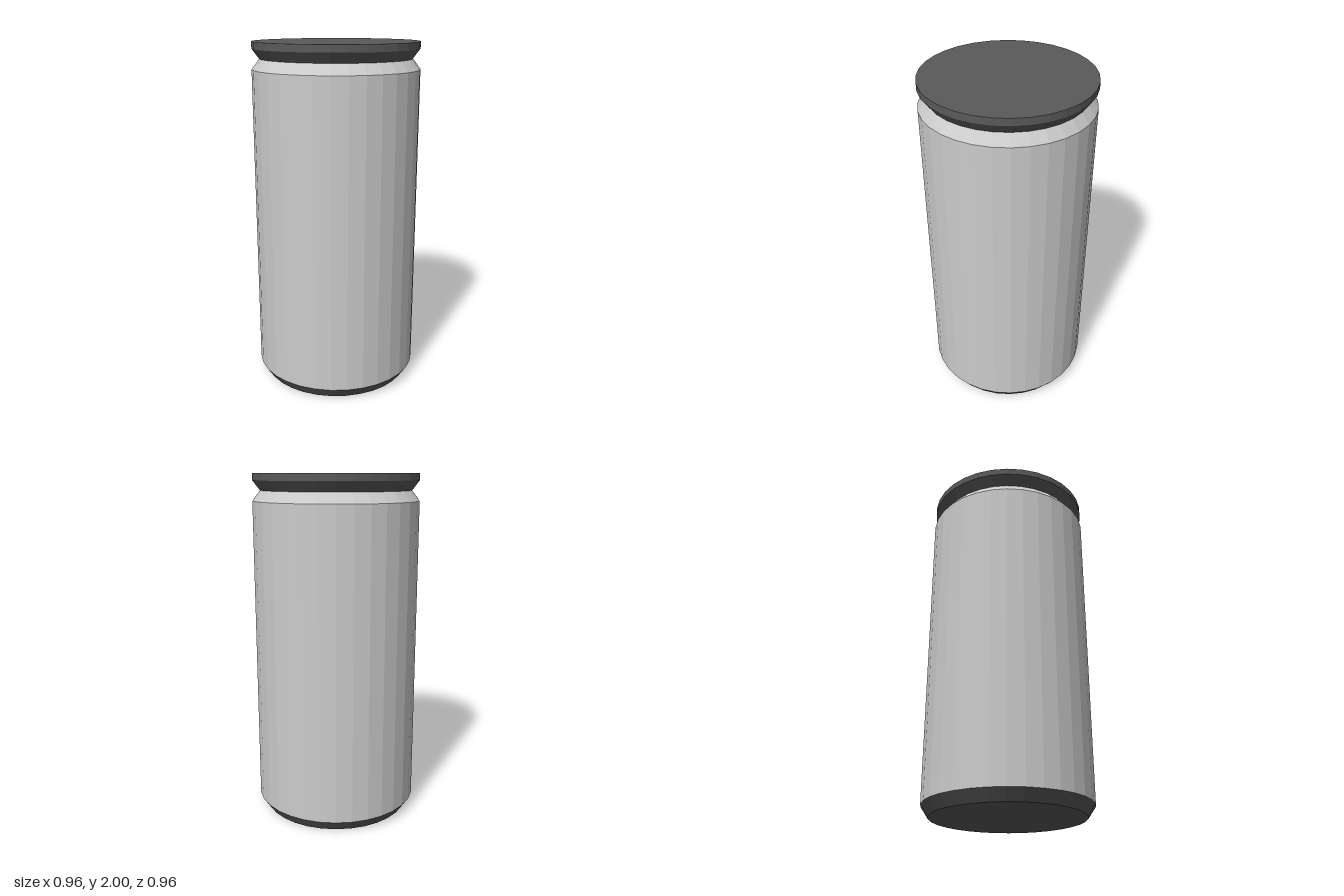
import * as THREE from 'three';

const SIDES = 32;
const metal = new THREE.MeshStandardMaterial({ color: 0xcccccc, flatShading: true });
const dark = new THREE.MeshStandardMaterial({ color: 0x5a5a5a, flatShading: true });

// Turned part from [radius, height] pairs, listed bottom to top
function turned(name, profile, material) {
  const points = profile.map(([r, y]) => new THREE.Vector2(r, y));
  const mesh = new THREE.Mesh(new THREE.LatheGeometry(points, SIDES), material);
  mesh.name = name;
  return mesh;
}

export function createModel() {
  const can = new THREE.Group();
  can.name = 'can';
  can.add(
    // Chamfered closed bottom
    turned('base', [[0, 0], [0.435, 0], [0.478, 0.064]], dark),
    // Straight wall tapering into the neck
    turned('body', [[0.478, 0.064], [0.478, 1.847], [0.434, 1.905]], metal),
    // Flared rim with a flat top
    turned('lid', [[0.434, 1.905], [0.475, 1.96], [0.475, 2], [0, 2]], dark),
  );
  return can;
}
